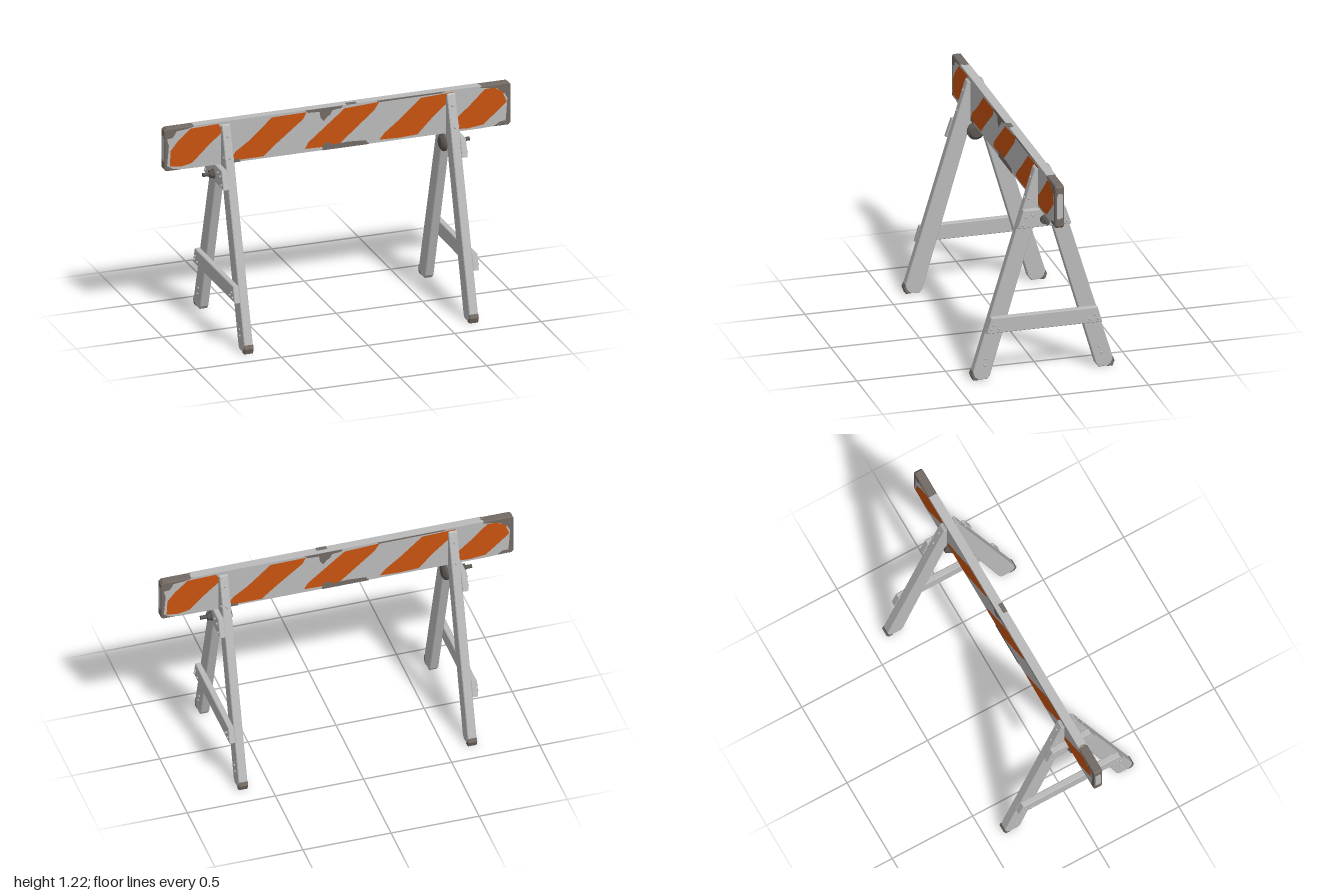
import * as THREE from 'three';

const mat = (name, color) => new THREE.MeshStandardMaterial({ name, color });

export function createModel() {
  const paint = mat('pale grey paint', 0xbababa);
  const orange = mat('orange paint', 0xc8530f);
  const worn = mat('worn wood', 0x736a63);
  const metal = mat('dark metal', 0x5c5651);

  const model = new THREE.Group();
  model.name = 'roadBarrier';

  const add = (parent, name, geometry, material, x = 0, y = 0, z = 0) => {
    const mesh = new THREE.Mesh(geometry, material);
    mesh.name = name;
    mesh.position.set(x, y, z);
    parent.add(mesh);
    return mesh;
  };
  const shapeOf = pts => new THREE.Shape(pts.map(p => new THREE.Vector2(p[0], p[1])));

  // Extrudes an outline with softened edges, centred on its thickness
  const slab = (pts, depth, bevel = 0.004) => {
    const g = new THREE.ExtrudeGeometry(shapeOf(pts), {
      depth: depth - 2 * bevel, bevelEnabled: bevel > 0, bevelThickness: bevel,
      bevelSize: bevel, bevelOffset: -bevel, bevelSegments: 1,
    });
    return g.translate(0, 0, -depth / 2 + bevel);
  };
  // Outline given as [z, y], thickness along x
  const sideSlab = (pts, depth, bevel) => slab(pts, depth, bevel).rotateY(-Math.PI / 2);

  // ---- Plank: painted middle with worn ends
  const plank = new THREE.Group();
  plank.name = 'plank';
  model.add(plank);
  add(plank, 'plankMiddle', new THREE.BoxGeometry(1.66, 0.246, 0.05), paint, 0, 1.096, 0);
  for (const s of [-1, 1]) {
    add(plank, 'plankEnd', slab([
      [s * 0.82, 0.973], [s * 0.988, 0.973], [s * 1, 0.985],
      [s * 1, 1.207], [s * 0.988, 1.219], [s * 0.82, 1.219],
    ], 0.05, 0.005), worn);
    // Paint left on the end grain
    add(plank, 'endPaint', sideSlab([
      [-0.017, 1.035], [0.004, 1.025], [0.017, 1.03], [0.017, 1.15],
      [0.008, 1.175], [-0.017, 1.17],
    ], 0.002, 0), paint, s * 0.9995, 0, 0);
  }

  // Painted face details, repeated on the back by a half turn
  const endPanels = [
    [[-0.815, 0.974], [-0.9, 0.975], [-0.955, 0.985], [-0.985, 1.005], [-0.98, 1.06], [-0.975, 1.12],
      [-0.985, 1.16], [-0.95, 1.165], [-0.93, 1.2], [-0.87, 1.205], [-0.815, 1.218]],
    [[0.815, 0.974], [0.9, 0.976], [0.94, 1.0], [0.97, 1.0], [0.975, 1.06], [0.98, 1.13],
      [0.965, 1.16], [0.935, 1.165], [0.93, 1.19], [0.88, 1.2], [0.815, 1.212]],
  ];
  const stripes = [
    [[-0.97, 1.0], [-0.965, 1.09], [-0.92, 1.145], [-0.85, 1.205], [-0.69, 1.21], [-0.66, 1.165],
      [-0.74, 1.1], [-0.84, 1.005], [-0.9, 0.992]],
    [[-0.63, 0.985], [-0.59, 1.035], [-0.51, 1.09], [-0.38, 1.205], [-0.18, 1.208], [-0.2, 1.17],
      [-0.29, 1.1], [-0.36, 1.045], [-0.43, 0.985]],
    [[-0.19, 0.995], [-0.17, 1.03], [-0.09, 1.095], [0.04, 1.2], [0.24, 1.21], [0.21, 1.165],
      [0.12, 1.09], [0.0, 0.99]],
    [[0.24, 0.99], [0.27, 1.025], [0.36, 1.095], [0.48, 1.2], [0.67, 1.208], [0.65, 1.165],
      [0.55, 1.08], [0.46, 0.99], [0.35, 0.985]],
    [[0.67, 0.99], [0.67, 1.04], [0.76, 1.115], [0.85, 1.2], [0.9, 1.2], [0.95, 1.175],
      [0.975, 1.11], [0.9, 1.045], [0.84, 0.995], [0.75, 0.985]],
  ];
  const chips = [
    [[-0.19, 1.219], [-0.17, 1.203], [-0.105, 1.2], [-0.1, 1.165], [-0.08, 1.142], [-0.062, 1.165],
      [-0.045, 1.175], [-0.03, 1.2], [0.02, 1.205], [0.03, 1.219]],
    [[-0.09, 0.973], [-0.085, 1.005], [-0.06, 1.02], [-0.03, 1.0], [0.06, 1.004], [0.16, 0.998],
      [0.18, 0.973]],
    [[0.22, 1.219], [0.24, 1.209], [0.6, 1.211], [0.62, 1.219]],
    [[-0.63, 0.973], [-0.62, 0.995], [-0.57, 0.99], [-0.56, 0.973]],
  ];
  for (const turn of [0, Math.PI]) {
    const face = new THREE.Group();
    face.name = turn ? 'backPaint' : 'frontPaint';
    face.rotation.y = turn;
    plank.add(face);
    const layers = [['endPanel', endPanels, paint], ['stripe', stripes, orange], ['paintChip', chips, worn]];
    layers.forEach(([name, list, material], i) => {
      for (const pts of list) {
        add(face, name, new THREE.ShapeGeometry(shapeOf(pts)), material, 0, 0, 0.0262 + i * 0.0012);
      }
    });
  }
  // Worn patch on the top edge
  add(plank, 'topChip', new THREE.BoxGeometry(0.06, 0.002, 0.025), worn, 0.08, 1.219, 0.013);

  // ---- A-frames, built for +x and turned round for -x
  const legPts = [
    [0.401, 0.03], [0.39, 0.004], [0.315, 0], [0.299, 0.02], [0.055, 0.86], [0.026, 0.96],
    [0.026, 1.195], [0.036, 1.208], [0.046, 1.2],
  ];
  const toePts = [[0.395, 0.052], [0.404, 0.03], [0.393, 0], [0.362, 0], [0.372, 0.014], [0.382, 0.02]];
  const screw = new THREE.SphereGeometry(0.007, 8, 6);
  const screws = [
    [0.709, 0.945, 0.07], [0.709, 0.935, 0.105], [0.709, 0.89, 0.125], [0.709, 0.3, 0.255],
    [0.709, 0.325, 0.285], [0.709, 0.3, 0.3], [0.676, 0.085, 0.33], [0.676, 0.12, 0.32],
    [0.676, 1.03, 0.08], [0.65, 1.145, 0.064], [0.65, 1.03, 0.099],
  ];

  for (const turn of [0, Math.PI]) {
    const frame = new THREE.Group();
    frame.name = turn ? 'rightTrestle' : 'leftTrestle';
    frame.rotation.y = turn;
    model.add(frame);

    for (const s of [-1, 1]) {
      const flip = pts => pts.map(([z, y]) => [s * z, y]);
      add(frame, 'leg', sideSlab(flip(legPts), 0.05), paint, 0.65, 0, 0);
      add(frame, 'wornToe', sideSlab(flip(toePts), 0.053, 0.003), worn, 0.65, 0, 0);
      for (const [x, y, z] of screws) add(frame, 'screw', screw, paint, x, y, s * z);
    }

    // Cross pieces fixed to the outer side of the legs
    add(frame, 'upperCrossPiece', sideSlab(
      [[-0.153, 0.87], [0.153, 0.87], [0.119, 0.973], [-0.119, 0.973]], 0.034), paint, 0.689, 0, 0);
    add(frame, 'lowerCrossPiece', sideSlab(
      [[-0.327, 0.276], [0.327, 0.276], [0.3, 0.365], [-0.3, 0.365]], 0.034), paint, 0.689, 0, 0);

    // Bolt through the cross piece, with a wide inner head
    const rod = (name, rOuter, rInner, length, sides, x) =>
      add(frame, name, new THREE.CylinderGeometry(rInner, rOuter, length, sides)
        .rotateZ(Math.PI / 2), metal, x, 0.913, 0);
    rod('boltShaft', 0.011, 0.011, 0.16, 12, 0.69);
    rod('washer', 0.027, 0.027, 0.008, 16, 0.709);
    rod('nut', 0.022, 0.022, 0.022, 6, 0.722);
    rod('boltHeadRim', 0.05, 0.05, 0.014, 16, 0.619);
    rod('boltHead', 0.05, 0.032, 0.014, 16, 0.605);
  }
  return model;
}
